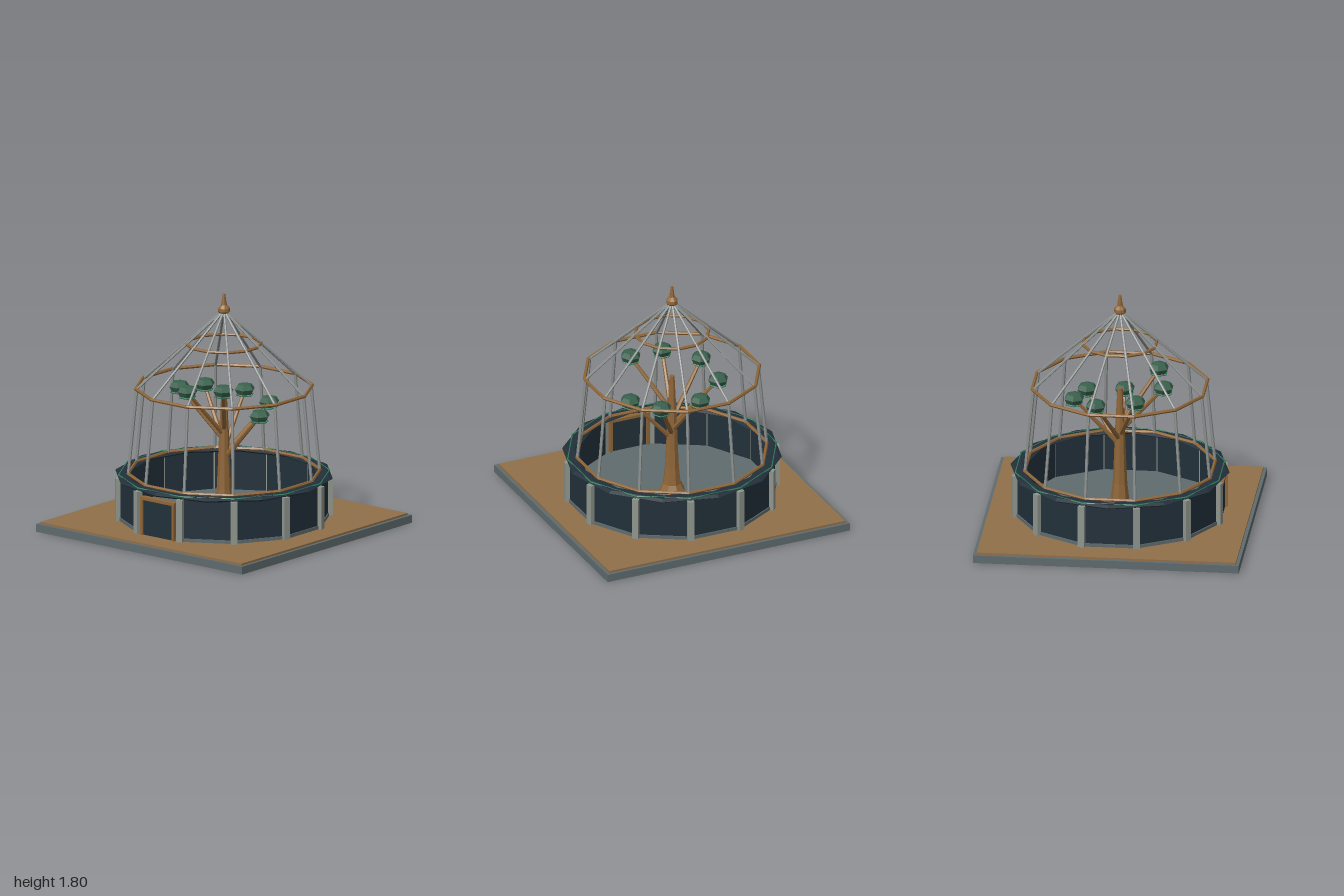
import * as THREE from 'three';

const paint = (name, color) => {
  const m = new THREE.MeshStandardMaterial({ color, flatShading: true });
  m.name = name;
  return m;
};

export function createModel() {
  const stone = paint('slate stone', 0x5f6b6e);
  const wood = paint('warm wood', 0x91704a);
  const bark = paint('bark and copper', 0x8f6638);
  const dark = paint('dark panel', 0x22303a);
  const pale = paint('pale stone', 0x8f958d);
  const metal = paint('grey metal', 0x8b908e);
  const leaf = paint('leaf green', 0x38604c);
  const trim = paint('bright green trim', 0x2c7d5c);

  const model = new THREE.Group();
  model.name = 'birdcageGarden';
  const STEP = Math.PI / 6, HALF = Math.PI / 12;

  const add = (name, geo, mat, x = 0, y = 0, z = 0, parent = model) => {
    const m = new THREE.Mesh(geo, mat);
    m.name = name;
    m.position.set(x, y, z);
    parent.add(m);
    return m;
  };
  // horizontal ring; turn shifts its corners, squash flattens its section
  const ring = (name, r, tube, y, mat, turn = HALF, sides = 6, segs = 12, squash = 1) => {
    const g = new THREE.TorusGeometry(r, tube, sides, segs);
    g.rotateX(Math.PI / 2).rotateY(turn).scale(1, squash, 1);
    return add(name, g, mat, 0, y, 0);
  };
  // tapered rod between two points
  const rod = (name, a, b, ra, rb, mat, sides = 6) => {
    const d = b.clone().sub(a);
    const m = add(name, new THREE.CylinderGeometry(rb, ra, d.length(), sides), mat);
    m.position.copy(a).addScaledVector(d, 0.5);
    m.quaternion.setFromUnitVectors(new THREE.Vector3(0, 1, 0), d.normalize());
    return m;
  };
  const polar = (r, a, y) => new THREE.Vector3(r * Math.sin(a), y, r * Math.cos(a));
  const lathe = (pts, sides, start = 0) =>
    new THREE.LatheGeometry(pts.map(p => new THREE.Vector2(...p)), sides, start);

  // base and floor
  add('basePlate', new THREE.BoxGeometry(2, 0.06, 2), stone, 0, 0.03, 0);
  add('baseDeck', new THREE.BoxGeometry(1.95, 0.015, 1.95), wood, 0, 0.0675, 0);
  add('floor', new THREE.CylinderGeometry(0.795, 0.795, 0.04, 12, 1, false, HALF), stone, 0, 0.08, 0);

  // twelve-sided wall, open at the front for the door
  for (let i = 0; i < 12; i++) {
    const a = i * STEP;
    if (i > 0) {
      const p = polar(0.75, a, 0.245);
      add('wallPanel', new THREE.BoxGeometry(0.4, 0.31, 0.02), dark, p.x, p.y, p.z).rotation.y = a;
    }
    const q = polar(0.79, a + HALF, 0.235);
    add('pillar', new THREE.BoxGeometry(0.05, 0.33, 0.05), pale, q.x, q.y, q.z).rotation.y = a + HALF;
  }

  // door
  const door = new THREE.Group();
  door.name = 'door';
  door.position.z = 0.765;
  model.add(door);
  add('doorLeaf', new THREE.BoxGeometry(0.29, 0.265, 0.02), dark, 0, 0.2075, 0, door);
  for (const s of [-1, 1])
    add('doorPost', new THREE.BoxGeometry(0.022, 0.275, 0.05), bark, s * 0.152, 0.2125, 0, door);
  add('doorLintel', new THREE.BoxGeometry(0.33, 0.022, 0.05), bark, 0, 0.357, 0, door);

  // eave and rails
  ring('eave', 0.768, 0.057, 0.41, dark, 0, 6, 12, 0.32);
  ring('eaveTrim', 0.793, 0.006, 0.422, trim);
  ring('wallRail', 0.722, 0.013, 0.43, bark);
  ring('shoulderRing', 0.665, 0.013, 1.085, bark);
  ring('crownRing', 0.28, 0.012, 1.42, bark);

  // cage ribs
  for (let i = 0; i < 12; i++) {
    const a = i * STEP + HALF;
    rod('lowerRib', polar(0.72, a, 0.42), polar(0.655, a, 1.085), 0.012, 0.012, metal);
    rod('upperRib', polar(0.655, a, 1.085), polar(0.02, a, 1.66), 0.01, 0.01, metal);
  }

  // finial
  add('finial', lathe([[0, 1.64], [0.03, 1.65], [0.046, 1.67], [0.044, 1.695], [0.022, 1.72],
    [0.016, 1.76], [0.009, 1.805], [0, 1.805]], 8), bark);

  // tree trunk with flared foot
  add('trunk', lathe([[0.1, 0.1], [0.07, 0.16], [0.055, 0.3], [0.048, 0.45],
    [0.036, 0.75], [0.02, 1.055], [0, 1.055]], 8), bark);

  // branches, each holding a leaf cluster
  const heights = [0.92, 1.145, 1.105, 1.07, 1.03, 0.99, 0.955];
  const cluster = lathe([[0, -0.05], [0.058, -0.038], [0.08, 0], [0.056, 0.035], [0, 0.048]],
    6, Math.PI / 6);
  heights.forEach((y, i) => {
    const a = Math.PI / 2 - i * Math.PI * 2 / 7;
    const p = polar(0.345, a, y);
    rod('branch', polar(0.01, a, y - 0.38), polar(0.335, a, y - 0.02), 0.02, 0.013, bark);
    add('leafCluster', cluster, leaf, p.x, p.y, p.z);
    const band = ring('leafBand', 0.066, 0.005, y - 0.043, trim, 0, 4, 6);
    band.position.x = p.x;
    band.position.z = p.z;
  });

  return model;
}
